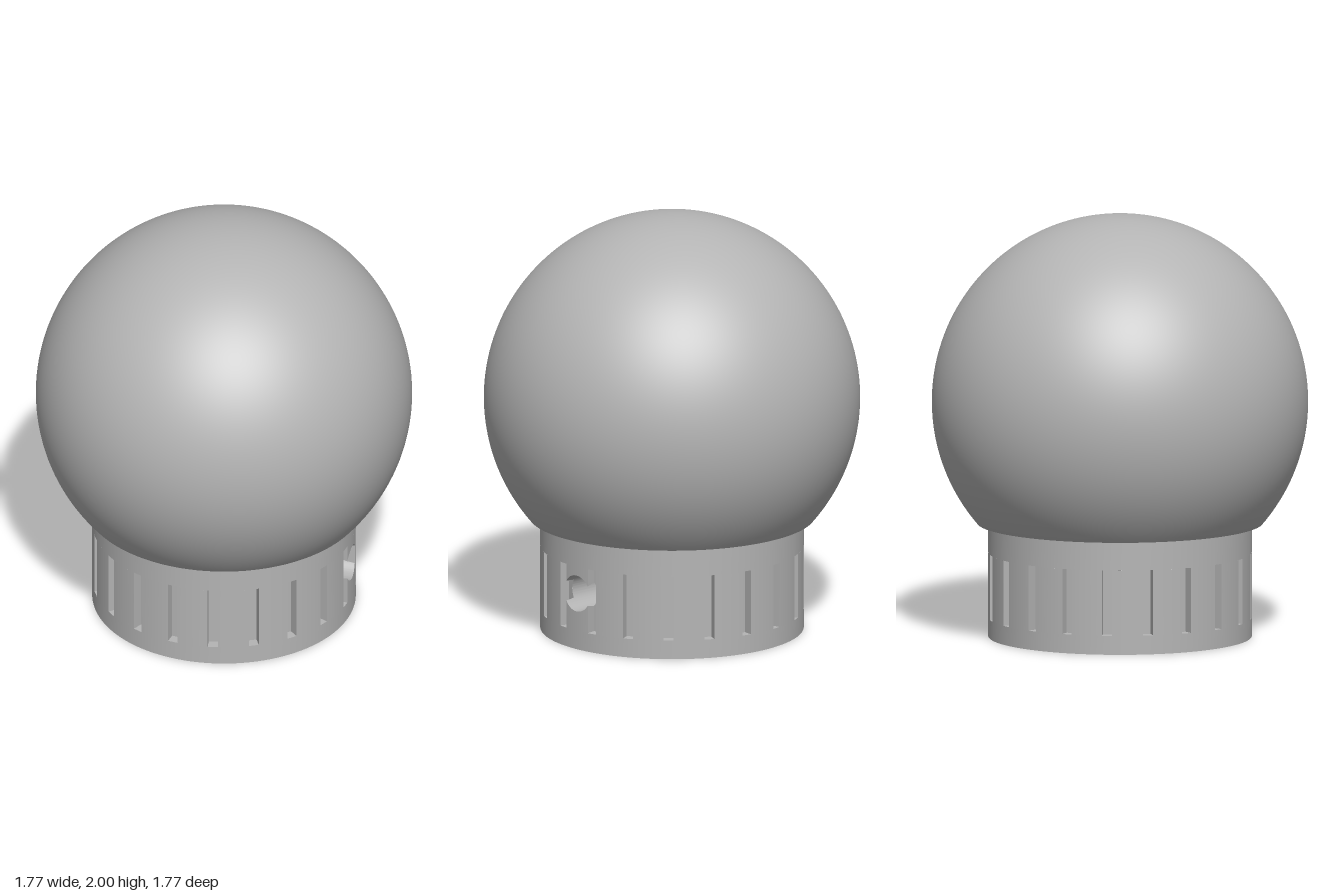
import * as THREE from 'three';
import { toCreasedNormals } from 'three/addons/utils/BufferGeometryUtils.js';

const R = 0.62, BASE_H = 0.54, BORE = 0.228;              // base drum
const SLOTS = 20, SLOT_W = 0.024, FLOOR = 0.57, S_LO = 0.09, S_HI = 0.4;
const HOLE_R = 0.087, HOLE_Y = 0.27;                      // cable hole on the +x side
const BALL_R = 0.885, BALL_Y = 1.115;
const STEP = (Math.PI * 2) / SLOTS;

const quad = (out, a, b, c, d) => out.push(...a, ...b, ...c, ...a, ...c, ...d);

function toGeometry(pos) {
  const g = new THREE.BufferGeometry();
  g.setAttribute('position', new THREE.Float32BufferAttribute(pos, 3));
  return toCreasedNormals(g, 0.5);
}

// Point at radial distance r and sideways offset t from direction a
function polar(a, r, t = 0) {
  const c = Math.cos(a), s = Math.sin(a);
  return [r * c - t * s, -(r * s + t * c)];
}

// Half height of the cable hole above a plan point
const gap = ([x, z]) => (x > 0 && Math.abs(z) < HOLE_R ? Math.sqrt(HOLE_R ** 2 - z * z) : 0);

// Upright wall along a plan path, from height lo(p) to hi(p)
function wall(out, path, lo, hi) {
  for (let i = 0; i < path.length - 1; i++) {
    const p = path[i], q = path[i + 1];
    const at = (v, y) => [v[0], y, v[1]];
    quad(out, at(p, lo(p)), at(q, lo(q)), at(q, hi(q)), at(p, hi(p)));
  }
}

// Wall in two halves, leaving the cable hole open
function piercedWall(out, path, lo, hi) {
  wall(out, path, () => lo, (p) => HOLE_Y - gap(p));
  wall(out, path, (p) => HOLE_Y + gap(p), () => hi);
}

function circlePath(r, n) {
  return Array.from({ length: n + 1 }, (_, i) => polar((i / n) * Math.PI * 2, r));
}

// Drum side with a ring of shallow slots
function slottedDrum() {
  const out = [], outline = [];
  const half = Math.asin(SLOT_W / R), edge = R * Math.cos(half);
  for (let i = 0; i < SLOTS; i++) {
    const mid = i * STEP, slot = mid + STEP / 2, span = STEP / 2 - half;
    for (let k = 0; k <= 14; k++) outline.push(polar(mid + span * (k / 7 - 1), R));
    for (let k = 0; k <= 8; k++) outline.push(polar(slot, FLOOR, SLOT_W * (k / 4 - 1)));
    // slot sill and head
    const ring = [[edge, -1], [edge, 1], [FLOOR, 1], [FLOOR, -1]].map(([r, s]) => polar(slot, r, s * SLOT_W));
    quad(out, ...ring.map(([x, z]) => [x, S_LO, z]));
    quad(out, ...ring.reverse().map(([x, z]) => [x, S_HI, z]));
  }
  outline.push(outline[0]);
  piercedWall(out, outline, S_LO, S_HI);
  const rim = circlePath(R, 160);
  wall(out, rim, () => 0, () => S_LO);
  wall(out, rim, () => S_HI, () => BASE_H);
  return toGeometry(out);
}

// Central bore, facing inward
function boreWall() {
  const out = [];
  piercedWall(out, circlePath(BORE, 120).reverse(), 0, BASE_H);
  return toGeometry(out);
}

// Round tunnel from the bore to the drum surface
function tunnel() {
  const out = [], n = 96, a = STEP / 2;
  const panelEdge = R * Math.sin(a - Math.asin(SLOT_W / R));
  const ends = (i) => {
    const phi = (i / n) * Math.PI * 2;
    const z = -HOLE_R * Math.cos(phi), y = HOLE_Y + HOLE_R * Math.sin(phi);
    const xOut = Math.abs(z) < panelEdge
      ? Math.sqrt(R * R - z * z)
      : (FLOOR - Math.abs(z) * Math.sin(a)) / Math.cos(a);
    return [[Math.sqrt(BORE ** 2 - z * z), y, z], [xOut, y, z]];
  };
  for (let i = 0; i < n; i++) {
    const [p0, p1] = ends(i), [q0, q1] = ends(i + 1);
    quad(out, p0, p1, q1, q0);
  }
  return toGeometry(out);
}

export function createModel() {
  const model = new THREE.Group();
  model.name = 'globeLamp';
  const grey = new THREE.MeshStandardMaterial({ color: 0xb4b4b4 });
  grey.name = 'grey';
  const add = (name, geometry, parent) => {
    const mesh = new THREE.Mesh(geometry, grey);
    mesh.name = name;
    parent.add(mesh);
    return mesh;
  };

  // Base drum
  const base = new THREE.Group();
  base.name = 'base';
  model.add(base);
  add('slottedSide', slottedDrum(), base);
  add('bore', boreWall(), base);
  add('cableHole', tunnel(), base);
  add('underside', new THREE.RingGeometry(BORE, R, 160).rotateX(Math.PI / 2), base);

  // Globe, cut flat where it meets the base
  const drop = BALL_Y - BASE_H;
  const globe = new THREE.SphereGeometry(BALL_R, 128, 80, 0, Math.PI * 2, 0, Math.acos(-drop / BALL_R));
  add('globe', globe, model).position.y = BALL_Y;
  const cut = new THREE.CircleGeometry(Math.sqrt(BALL_R ** 2 - drop ** 2), 128).rotateX(Math.PI / 2);
  add('globeUnderside', cut, model).position.y = BASE_H;

  return model;
}
